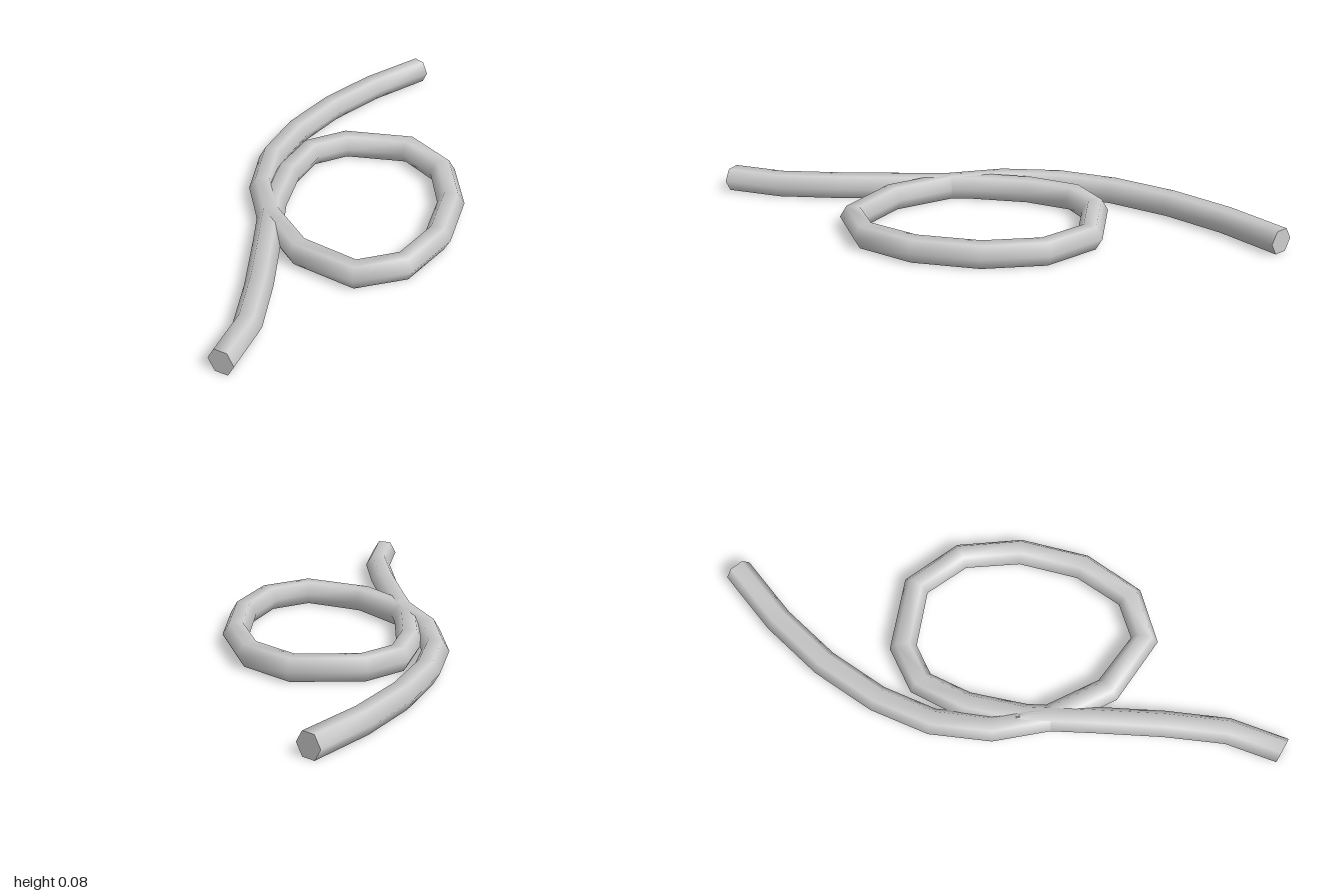
import * as THREE from 'three';

const RADIUS = 0.0475;
const SIDES = 6;
const HEIGHT = RADIUS * Math.sin(Math.PI / 3); // rope lies on a flat side

// Centre line of the rope as [x, z], from the back end round the loop to the front end
const PATH = [
  [-0.233, -0.98], [-0.322, -0.75], [-0.376, -0.525], [-0.394, -0.296], [-0.37, -0.09],
  [-0.288, 0.10], [-0.16, 0.25], [0.034, 0.378], [0.26, 0.4], [0.375, 0.278],
  [0.394, 0.077], [0.333, -0.143], [0.212, -0.317], [0.032, -0.397], [-0.188, -0.317],
  [-0.27, -0.196], [-0.26, -0.02], [-0.195, 0.18], [-0.085, 0.39], [0.024, 0.606],
  [0.111, 0.807], [0.143, 1.0],
].map(([x, z]) => new THREE.Vector3(x, HEIGHT, z));

// Direction of the rope at a point: the mean of the two segments that meet there
function tangentAt(i) {
  const last = PATH.length - 1;
  if (i === last) return new THREE.Vector3(0, 0, 1);
  const t = new THREE.Vector3().subVectors(PATH[i + 1], PATH[i]).normalize();
  if (i > 0) t.add(new THREE.Vector3().subVectors(PATH[i], PATH[i - 1]).normalize());
  return t.normalize();
}

// Hexagonal rings along the path, joined by quads
function ropeGeometry() {
  const positions = [];
  const index = [];
  PATH.forEach((p, i) => {
    const t = tangentAt(i);
    for (let j = 0; j < SIDES; j++) {
      const a = (j / SIDES) * Math.PI * 2;
      const side = RADIUS * Math.cos(a);
      positions.push(p.x + t.z * side, p.y + RADIUS * Math.sin(a), p.z - t.x * side);
      if (i < PATH.length - 1) {
        const k = (j + 1) % SIDES;
        const a0 = i * SIDES + j, b0 = i * SIDES + k;
        index.push(a0, b0, a0 + SIDES, b0, b0 + SIDES, a0 + SIDES);
      }
    }
  });
  const geometry = new THREE.BufferGeometry();
  geometry.setAttribute('position', new THREE.Float32BufferAttribute(positions, 3));
  geometry.setIndex(index);
  geometry.computeVertexNormals();
  return geometry;
}

export function createModel() {
  const group = new THREE.Group();
  group.name = 'loopedRope';
  const material = new THREE.MeshStandardMaterial({ color: 0xcccccc });

  const rope = new THREE.Mesh(ropeGeometry(), material);
  rope.name = 'rope';
  group.add(rope);

  // Flat cut ends
  const addEnd = (name, i, turn) => {
    const t = tangentAt(i);
    const end = new THREE.Mesh(new THREE.CircleGeometry(RADIUS, SIDES), material);
    end.name = name;
    end.position.copy(PATH[i]);
    end.rotation.y = Math.atan2(t.x, t.z) + turn;
    group.add(end);
  };
  addEnd('backEnd', 0, Math.PI);
  addEnd('frontEnd', PATH.length - 1, 0);

  return group;
}
